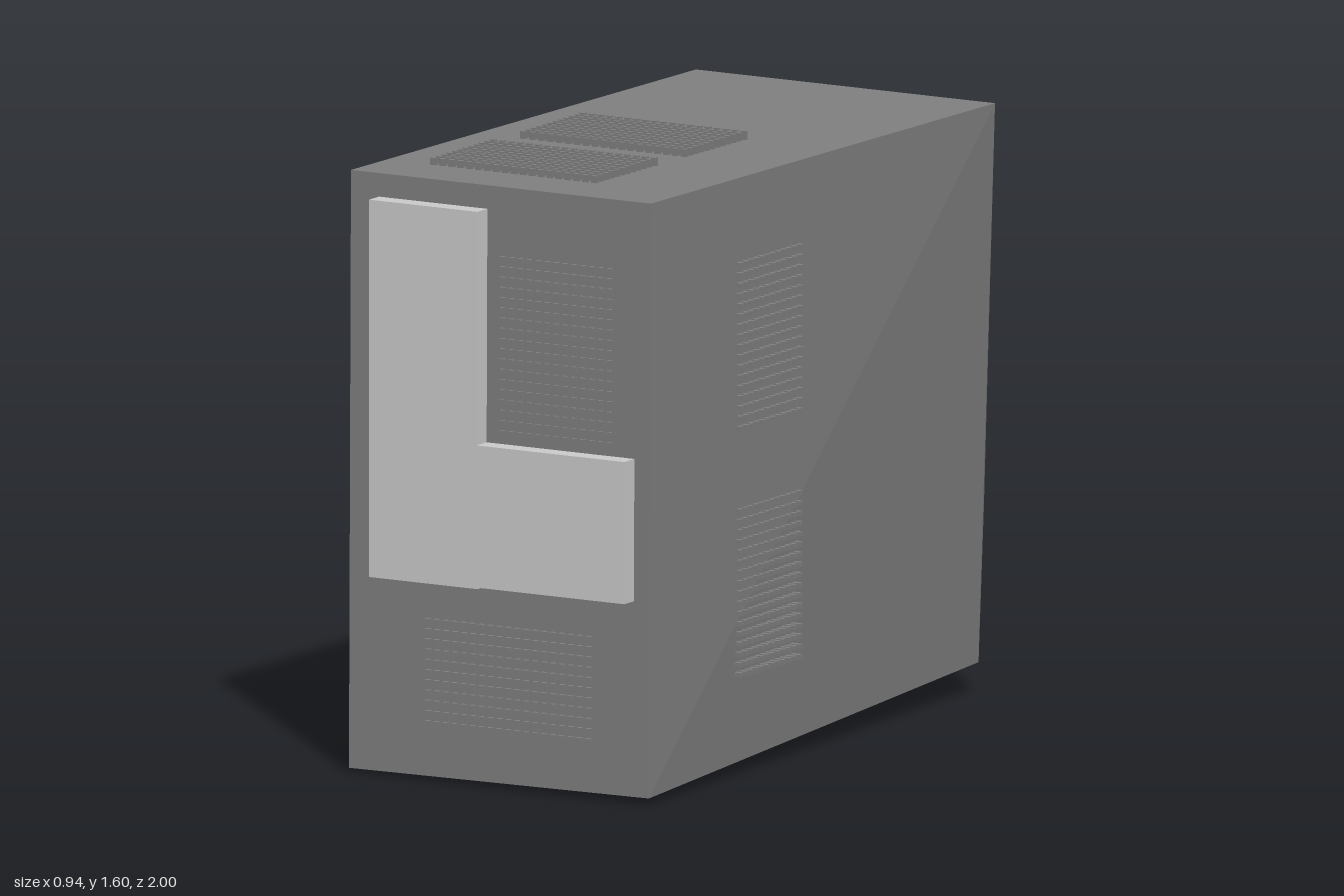
import * as THREE from 'three';
import { mergeGeometries } from 'three/addons/utils/BufferGeometryUtils.js';

const mat = (name, color) => {
  const m = new THREE.MeshStandardMaterial({ color });
  m.name = name;
  return m;
};

export function createModel() {
  const gray = mat('case gray', 0x808080);
  const light = mat('panel light gray', 0xcccccc);
  const blue = mat('port blue', 0x283b80);
  const group = new THREE.Group();

  const add = (name, geometry, material) => {
    const mesh = new THREE.Mesh(geometry, material);
    mesh.name = name;
    group.add(mesh);
    return mesh;
  };
  // box given by its two extremes on each axis
  const box = (name, material, [x0, x1], [y0, y1], [z0, z1]) => {
    const mesh = add(name, new THREE.BoxGeometry(x1 - x0, y1 - y0, z1 - z0), material);
    mesh.position.set((x0 + x1) / 2, (y0 + y1) / 2, (z0 + z1) / 2);
    return mesh;
  };

  // case: a tall box whose -z end swells to a ridge with bevelled sides
  const corners = {
    ftl: [-0.455, 1.587, 0.945], ftr: [0.452, 1.587, 0.945],
    fbl: [-0.455, 0.012, 0.955], fbr: [0.452, 0.02, 0.955],
    btl: [-0.455, 1.57, -0.785], btr: [0.45, 1.57, -0.785],
    bbl: [-0.455, 0, -0.78], bbr: [0.37, 0.08, -0.835],
    rl: [-0.36, 0.48, -0.87], rr: [0.365, 0.48, -0.87],
  };
  const triangles = [
    'ftl fbl fbr', 'ftl fbr ftr',   // front
    'ftr fbr btr', 'fbr bbr btr',   // left side
    'btl bbl fbl', 'btl fbl ftl',   // right side
    'btl ftl ftr', 'btl ftr btr',   // top
    'fbl bbl fbr', 'bbl bbr fbr',   // bottom
    'btr rr rl', 'btr rl btl',      // upper back
    'rr bbr bbl', 'rr bbl rl',      // lower back
    'btr bbr rr', 'btl rl bbl',     // bevels
  ];
  const caseGeometry = new THREE.BufferGeometry();
  caseGeometry.setAttribute('position', new THREE.Float32BufferAttribute(
    triangles.flatMap((t) => t.split(' ').flatMap((k) => corners[k])), 3));
  caseGeometry.computeVertexNormals();
  add('case', caseGeometry, gray);

  // raised plates on the front
  box('tallPanel', light, [-0.37, -0.042], [0.53, 1.525], [0.93, 0.995]);
  box('shortPanel', light, [-0.042, 0.405], [0.535, 0.91], [0.93, 1]);

  // vent: a grid of tiny studs in the local XY plane, standing out along z
  const vent = (name, width, height, position, rotation = [0, 0, 0]) => {
    const step = 0.027;
    const nx = Math.round(width / step), ny = Math.round(height / step);
    const studs = [];
    for (let i = 0; i < nx; i++) {
      for (let j = 0; j < ny; j++) {
        const stud = new THREE.BoxGeometry(0.016, 0.012, 0.03);
        stud.translate((i - (nx - 1) / 2) * step, (j - (ny - 1) / 2) * step, 0);
        studs.push(stud);
      }
    }
    const mesh = add(name, mergeGeometries(studs), gray);
    mesh.position.set(...position);
    mesh.rotation.set(...rotation);
  };
  const q = Math.PI / 2;
  vent('topVentFront', 0.52, 0.33, [-0.07, 1.589, 0.615], [-q, 0, 0]);
  vent('topVentRear', 0.52, 0.33, [-0.07, 1.586, 0.165], [-q, 0, 0]);
  vent('leftVentUpper', 0.33, 0.46, [0.452, 1.14, 0.36], [0, q, 0]);
  vent('leftVentLower', 0.33, 0.46, [0.449, 0.49, 0.36], [0, q, 0]);
  vent('rightVent', 0.33, 0.52, [-0.458, 1.14, 0.36], [0, -q, 0]);
  vent('frontVentUpper', 0.34, 0.48, [0.17, 1.17, 0.942]);
  vent('frontVentLower', 0.5, 0.31, [0.03, 0.29, 0.95]);

  // drive lip: triangular bar that grows deeper toward -x
  const profile = new THREE.Shape([
    new THREE.Vector2(0.79, 1.21), new THREE.Vector2(0.868, 1.21),
    new THREE.Vector2(0.855, 1.3), new THREE.Vector2(0.79, 1.225),
  ]);
  const lip = new THREE.ExtrudeGeometry(profile, { depth: 0.67, bevelEnabled: false });
  lip.rotateY(q);
  lip.translate(-0.33, 0, 0);
  const p = lip.attributes.position;
  for (let i = 0; i < p.count; i++) {
    if (p.getX(i) > 0) {
      p.setZ(i, -0.79 + (p.getZ(i) + 0.79) * 0.6);
      p.setY(i, 1.265 + (p.getY(i) - 1.21) * 0.5);
    }
  }
  lip.computeVertexNormals();
  add('driveLip', lip, gray);

  // buttons
  box('ejectButton', gray, [-0.32, -0.25], [1.335, 1.36], [-0.88, -0.78]);
  const power = add('powerButton', new THREE.CylinderGeometry(0.018, 0.018, 0.04, 12), gray);
  power.rotation.x = q;
  power.position.set(-0.285, 0.655, -0.852);

  // plugs
  for (const x of [0.072, 0.192]) {
    box('plug', blue, [x, x + 0.063], [0.65, 0.668], [-1, -0.84]);
  }
  return group;
}
